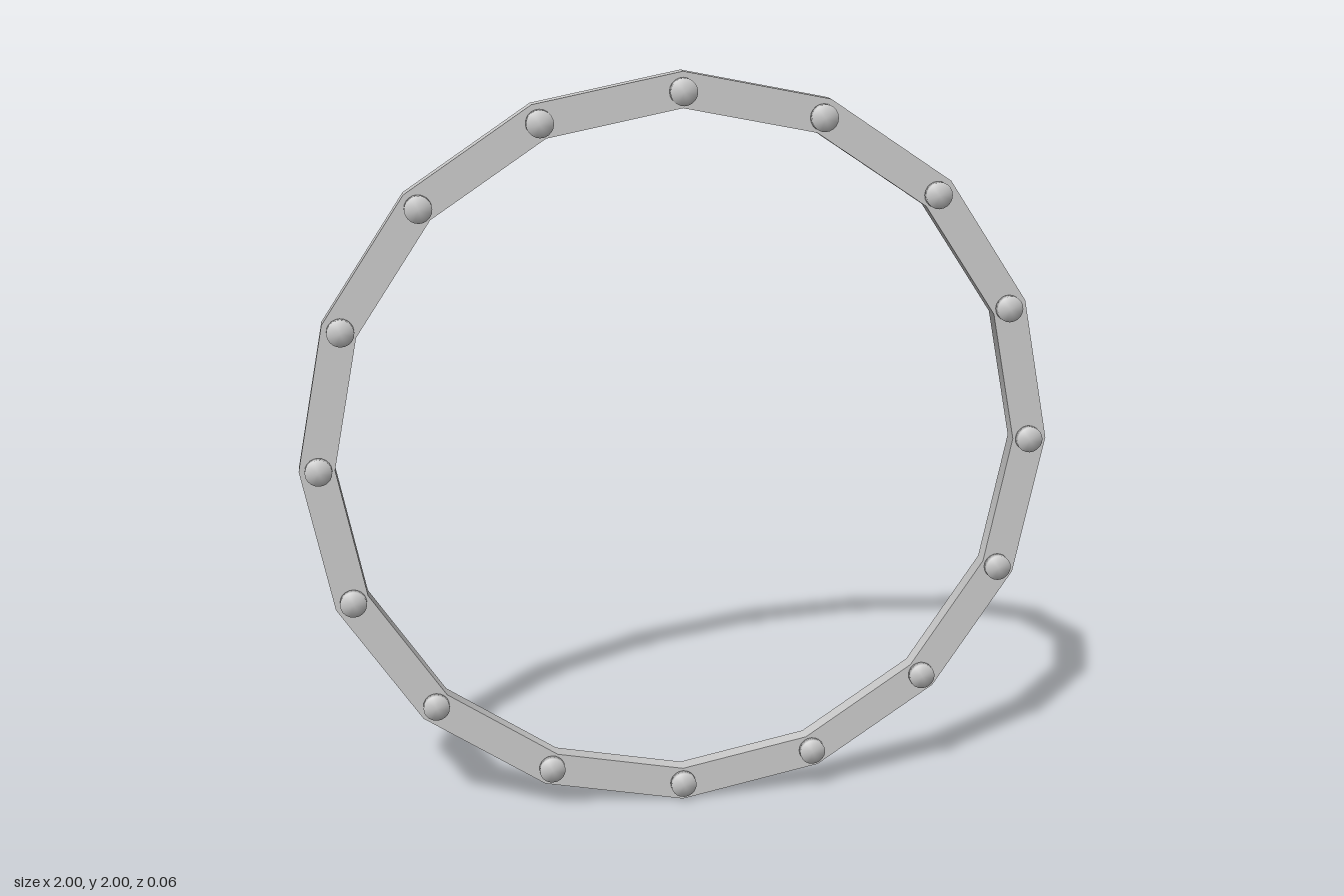
import * as THREE from 'three';
import { mergeGeometries, mergeVertices } from 'three/addons/utils/BufferGeometryUtils.js';

const SIDES = 16;
const OUTER = 1, INNER = 0.908;
const BACK = -0.032, FRONT = 0.012, STUD_TOP = 0.032;
const STUD_RADIUS = 0.035, STUD_ORBIT = 0.95;

// Sixteen-sided band: each wall is its own strip, so the four rims stay sharp
// while the walls shade smoothly around the circle.
function bandGeometry() {
  const section = [[INNER, BACK], [OUTER, BACK], [OUTER, FRONT], [INNER, FRONT]]
    .map(([r, z]) => new THREE.Vector2(r, z));
  const walls = section.map((p, i) =>
    new THREE.LatheGeometry([p, section[(i + 1) % section.length]], SIDES));
  return mergeGeometries(walls).rotateX(Math.PI / 2);
}

// Short round stud with normals blended over its rim
function studGeometry() {
  const g = new THREE.CylinderGeometry(STUD_RADIUS, STUD_RADIUS, STUD_TOP - FRONT, 20);
  g.rotateX(Math.PI / 2);
  g.deleteAttribute('uv');
  g.deleteAttribute('normal');
  const smooth = mergeVertices(g);
  smooth.computeVertexNormals();
  return smooth;
}

export function createModel() {
  const model = new THREE.Group();
  model.name = 'studdedRing';
  const material = new THREE.MeshStandardMaterial({ color: 0xcccccc });

  const band = new THREE.Mesh(bandGeometry(), material);
  band.name = 'ringBand';
  band.position.y = 1;
  model.add(band);

  // One stud at every corner of the band
  const studs = new THREE.Group();
  studs.name = 'studs';
  studs.position.set(0, 1, (FRONT + STUD_TOP) / 2);
  const geometry = studGeometry();
  for (let i = 0; i < SIDES; i++) {
    const a = (i / SIDES) * Math.PI * 2;
    const stud = new THREE.Mesh(geometry, material);
    stud.name = 'stud';
    stud.position.set(Math.cos(a) * STUD_ORBIT, Math.sin(a) * STUD_ORBIT, 0);
    studs.add(stud);
  }
  model.add(studs);
  return model;
}
